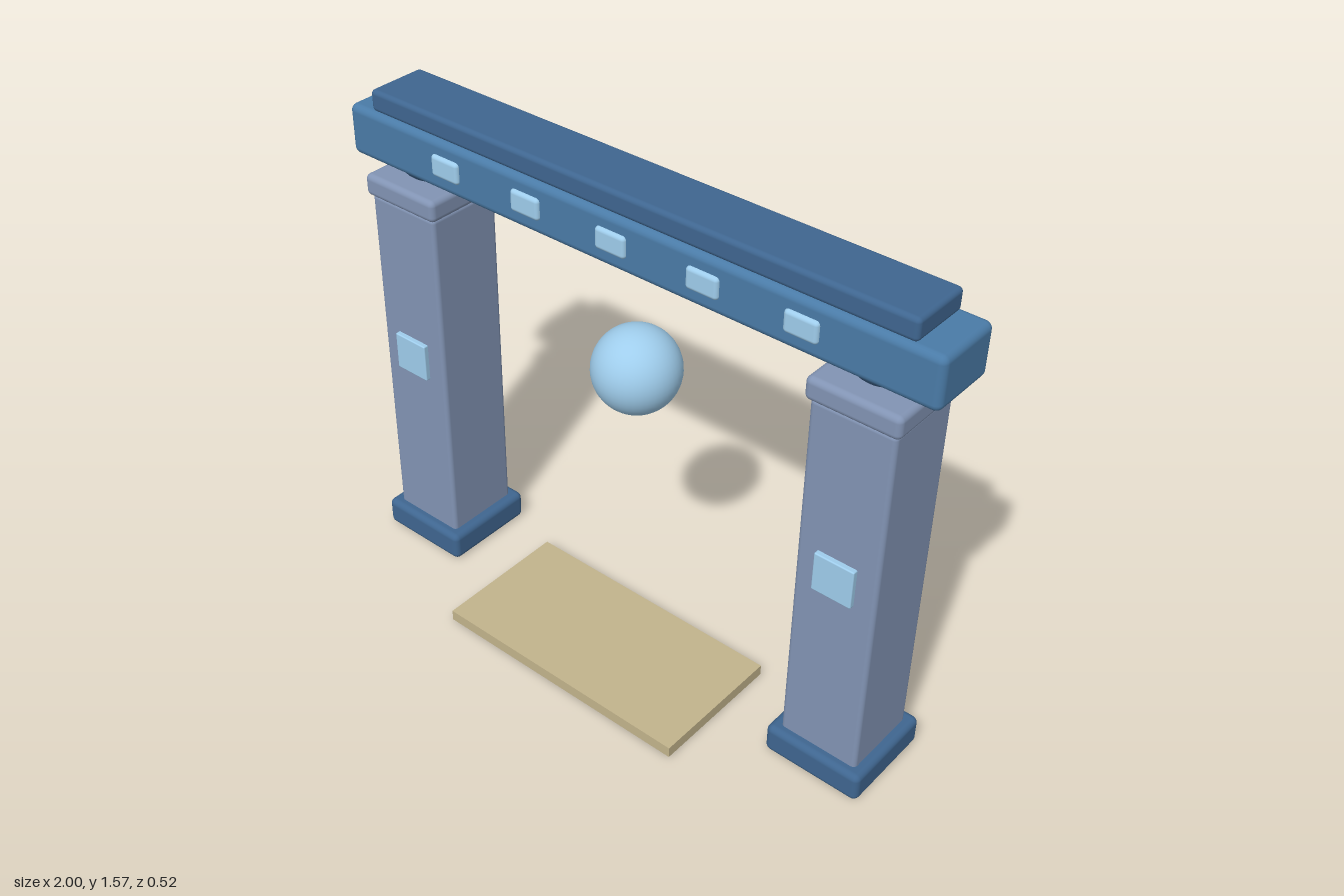
import * as THREE from 'three';
import { RoundedBoxGeometry } from 'three/addons/geometries/RoundedBoxGeometry.js';

const Z = -0.102; // depth centre line of the gate

const mat = (color) => new THREE.MeshStandardMaterial({ color });

export function createModel() {
  const model = new THREE.Group();
  model.name = 'gateway';
  const navy = mat(0x3f6690);
  const beamBlue = mat(0x4a7ba7);
  const stone = mat(0x8294b4);
  const glow = mat(0x9fcdec);
  const sand = mat(0xc2b48c);

  function add(parent, name, geometry, material, x, y, z) {
    const mesh = new THREE.Mesh(geometry, material);
    mesh.name = name;
    mesh.position.set(x, y, z);
    parent.add(mesh);
  }

  // Softly bevelled block from bottom height y0 to top height y1
  function block(parent, name, material, x, y0, y1, z, w, d, r) {
    add(parent, name, new RoundedBoxGeometry(w, y1 - y0, d, 3, r), material, x, (y0 + y1) / 2, z);
  }

  // Pillars: base, shaft, capital, ball bearing and front plaque
  for (const side of [1, -1]) {
    const pillar = new THREE.Group();
    pillar.name = side > 0 ? 'leftPillar' : 'rightPillar';
    pillar.position.x = side * 0.785;
    model.add(pillar);
    block(pillar, 'base', navy, 0, 0.004, 0.1, Z, 0.318, 0.318, 0.02);
    block(pillar, 'shaft', stone, 0, 0.02, 1.255, Z, 0.254, 0.256, 0.014);
    block(pillar, 'capital', stone, 0, 1.252, 1.322, Z, 0.28, 0.282, 0.018);
    add(pillar, 'bearing', new THREE.SphereGeometry(0.11, 32, 20), navy, 0, 1.41, Z);
    block(pillar, 'plaque', glow, 0, 0.675, 0.8, 0.027, 0.125, 0.03, 0.004);
  }

  // Lintel and the narrower ridge beam on top
  block(model, 'lintel', beamBlue, 0, 1.352, 1.51, Z, 2, 0.22, 0.022);
  block(model, 'ridgeBeam', navy, 0, 1.508, 1.575, Z, 1.83, 0.195, 0.014);

  // Row of lights showing on both faces of the lintel
  for (let i = -2; i <= 2; i++) {
    block(model, 'lintelLight', glow, i * 0.3035, 1.4, 1.467, Z, 0.104, 0.242, 0.012);
  }

  // Floating orb and the threshold slab
  add(model, 'orb', new THREE.SphereGeometry(0.132, 40, 24), glow, 0, 0.976, Z);
  add(model, 'threshold', new THREE.BoxGeometry(0.88, 0.036, 0.44), sand, 0, 0.022, 0.043);

  return model;
}
